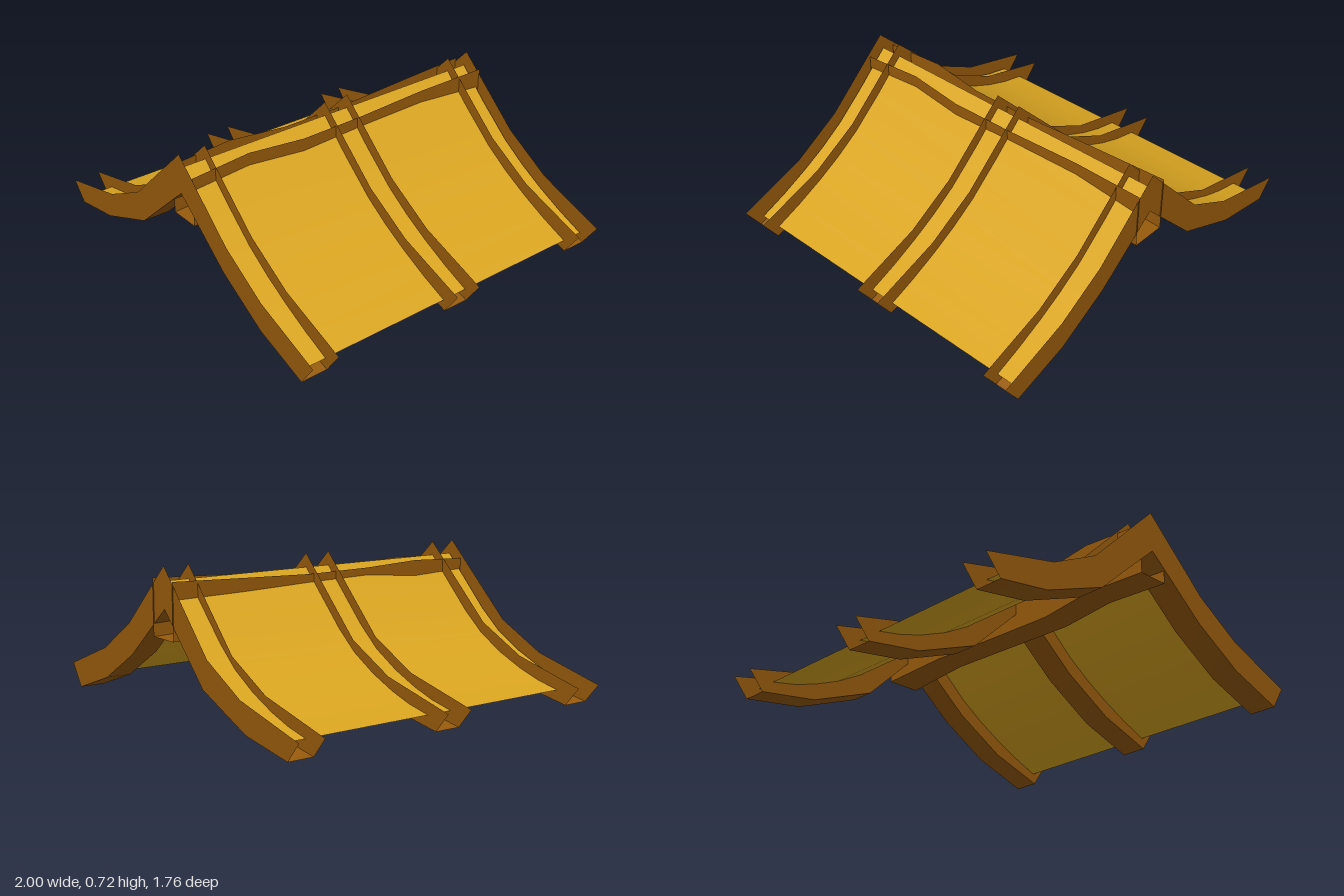
import * as THREE from 'three';
import { toCreasedNormals } from 'three/addons/utils/BufferGeometryUtils.js';

const wood = new THREE.MeshStandardMaterial({ color: 0x965a0c, side: THREE.DoubleSide });
wood.name = 'brown wood';
const thatch = new THREE.MeshStandardMaterial({ color: 0xdaa520, side: THREE.DoubleSide });
thatch.name = 'golden thatch';

// Surface through rows of points; every row has the same number of points
function loft(rows, crease) {
  const n = rows[0].length;
  const index = [];
  for (let i = 0; i < rows.length - 1; i++) {
    for (let j = 0; j < n - 1; j++) {
      const a = i * n + j, b = a + 1, c = a + n, d = c + 1;
      index.push(a, c, b, b, c, d);
    }
  }
  const geometry = new THREE.BufferGeometry();
  geometry.setAttribute('position', new THREE.Float32BufferAttribute(rows.flat(2), 3));
  geometry.setIndex(index);
  return toCreasedNormals(geometry, crease);
}

function mesh(name, geometry, material) {
  const m = new THREE.Mesh(geometry, material);
  m.name = name;
  return m;
}

// Rafter outline, from the eave at -x over the ridge to the eave at +x
const upper = [[-1, 0.12], [-0.61, 0.215], [-0.35, 0.345], [0.045, 0.72], [0.39, 0.405], [0.64, 0.25], [1, 0.115]];
const lower = [[-0.92, 0.025], [-0.65, 0.07], [-0.31, 0.205], [0.045, 0.52], [0.36, 0.26], [0.63, 0.1], [0.92, 0]];

// Trough-shaped rafter, open along the top and at the eaves
function rafter(name, z0, z1, shift) {
  const rows = upper.map(([x, y], i) => {
    const s = i === 1 || i === 2 ? shift : 0;
    const [u, v] = lower[i];
    return [[x + s, y, z0], [u + s, v, z0], [u + s, v, z1], [x + s, y, z1]];
  });
  return mesh(name, loft(rows, 0.3), wood);
}

export function createModel() {
  const model = new THREE.Group();
  model.name = 'roof';

  // Three rafters
  model.add(rafter('frontRafter', 0.74, 0.877, 0));
  model.add(rafter('middleRafter', -0.08, 0.055, 0.02));
  model.add(rafter('backRafter', -0.875, -0.745, 0.035));

  // Thin curved roof covering with a sharp ridge
  const profile = [
    [-0.865, 0.09], [-0.74, 0.115], [-0.62, 0.152], [-0.48, 0.21], [-0.34, 0.287], [-0.22, 0.385], [-0.11, 0.495],
    [0.045, 0.65], [0.2, 0.5], [0.37, 0.35], [0.5, 0.26], [0.63, 0.185], [0.77, 0.115], [0.91, 0.055],
  ];
  model.add(mesh('roofCovering', loft(profile.map(([x, y]) => [[x, y, -0.86], [x, y, 0.86]]), 0.6), thatch));

  // Uneven ridge beam, a trough open at the top and both ends: z, -x side, +x side, top, bottom
  const stations = [
    [0.87, -0.03, 0.13, 0.63, 0.385], [0.55, -0.04, 0.115, 0.645, 0.395], [0.25, -0.015, 0.135, 0.627, 0.38],
    [-0.1, -0.02, 0.125, 0.625, 0.385], [-0.5, -0.03, 0.12, 0.64, 0.395], [-0.88, -0.035, 0.14, 0.655, 0.38],
  ];
  const beam = stations.map(([z, l, r, t, b]) => [[l, t, z], [l, b, z], [r, b, z], [r, t, z]]);
  model.add(mesh('ridgeBeam', loft(beam, 0.3), wood));

  return model;
}
